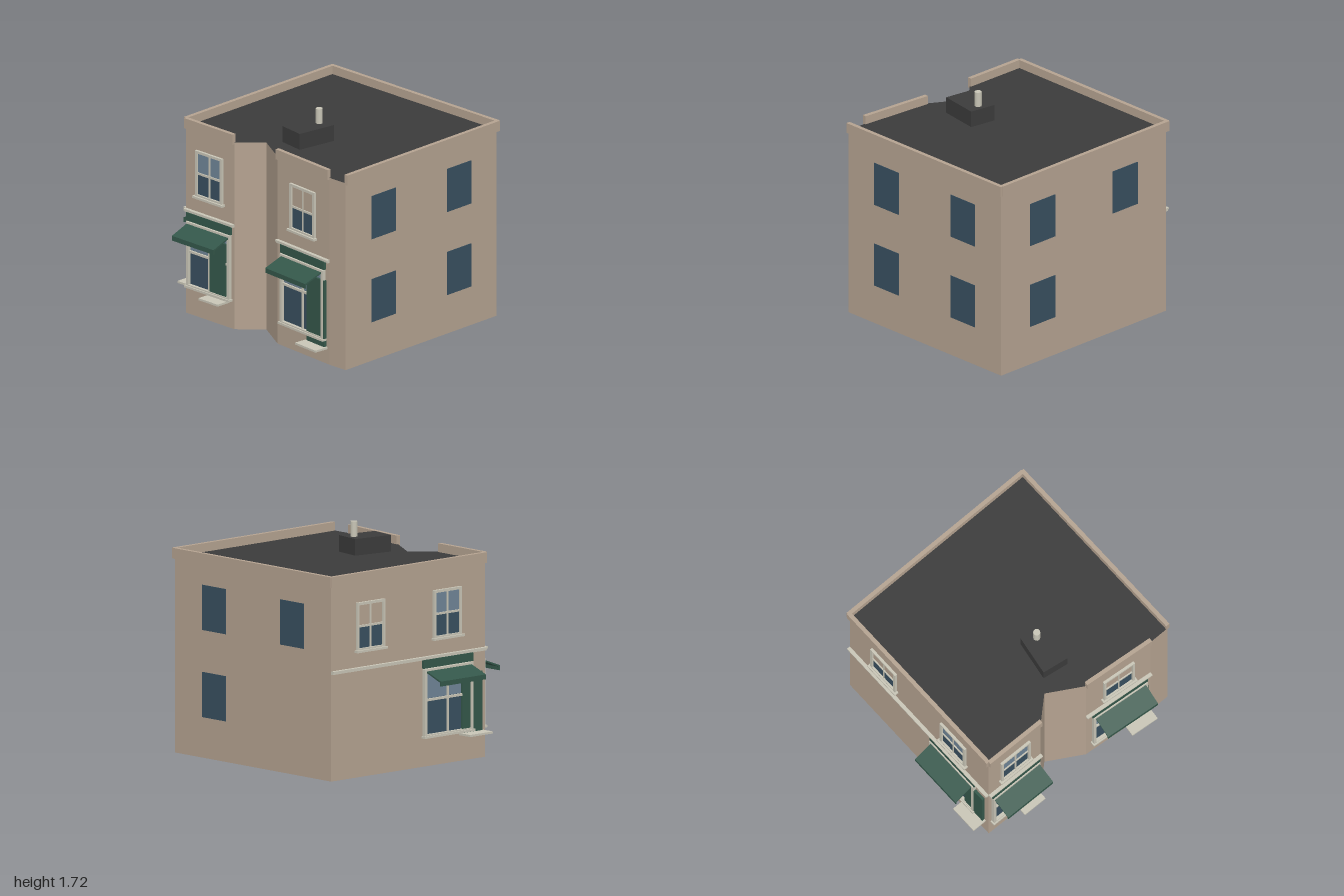
import * as THREE from 'three';

const mat = (name, color, side = THREE.FrontSide) => {
  const m = new THREE.MeshStandardMaterial({ color, side });
  m.name = name;
  return m;
};
const M = {
  wall: mat('tan wall', 0xb4a290),
  roof: mat('dark roofing', 0x3b3b3b),
  glass: mat('dark glass', 0x384f5f),
  paleGlass: mat('pale glass', 0x6f8496),
  trim: mat('stone trim', 0xc8c5b6),
  green: mat('shop green', 0x34574a),
};

// Footprint corners as [x, z], in order around the building
const C = {
  frontRight: [-0.62, 0.975], frontLeft: [0.975, 0.72], backLeft: [0.72, -0.96], backRight: [-0.82, -0.72],
  notchBack: [-0.75, -0.22], notchInner: [-0.565, -0.07], notchFront: [-0.68, 0.22], sideEnd: [-0.645, 0.81],
};
const ROOF = 1.475;

// Box given by its centre x, bottom and top y, back and front z
function box(parent, name, material, x, w, y0, y1, z0, z1) {
  const mesh = new THREE.Mesh(new THREE.BoxGeometry(w, y1 - y0, z1 - z0), material);
  mesh.position.set(x, (y0 + y1) / 2, (z0 + z1) / 2);
  mesh.name = name;
  parent.add(mesh);
  return mesh;
}

// Group on a wall: local x runs along it from p to q, local z points outwards
function wallFrame(parent, name, p, q) {
  const g = new THREE.Group();
  const dx = q[0] - p[0], dz = q[1] - p[1];
  g.name = name;
  g.position.set(p[0], 0, p[1]);
  g.rotation.y = Math.atan2(-dz, dx);
  g.userData.length = Math.hypot(dx, dz);
  parent.add(g);
  return g;
}

function parapet(wall, over0, over1) {
  const L = wall.userData.length;
  box(wall, 'parapet', M.wall, (L + over1 - over0) / 2, L + over0 + over1, 1.46, 1.54, -0.012, 0.02);
}

function plainWindow(wall, x, y) {
  box(wall, 'plainWindow', M.glass, x, 0.258, y, y + 0.34, -0.004, 0.004);
}

// Frame bars with a centre mullion and a middle rail
function frame(g, x, w, y0, y1, rail, bar, depth) {
  for (const s of [-1, 1]) box(g, 'frameSide', M.trim, x + s * (w - bar) / 2, bar, y0, y1, 0, depth);
  box(g, 'frameHead', M.trim, x, w, y1 - bar, y1, 0, depth);
  box(g, 'frameFoot', M.trim, x, w, y0, y0 + bar, 0, depth);
  box(g, 'mullion', M.trim, x, bar * 0.6, y0, y1, 0, depth * 0.6);
  box(g, 'rail', M.trim, x, w, rail - bar * 0.4, rail + bar * 0.4, 0, depth * 0.7);
}

function sashWindow(wall, x, upperPane) {
  const g = new THREE.Group();
  g.name = 'sashWindow';
  wall.add(g);
  box(g, 'lowerPane', M.glass, x, 0.25, 0.96, 1.135, -0.003, 0.005);
  box(g, 'upperPane', upperPane, x, 0.25, 1.135, 1.305, -0.003, 0.005);
  frame(g, x, 0.28, 0.95, 1.315, 1.135, 0.02, 0.02);
  box(g, 'sill', M.trim, x, 0.31, 0.94, 0.957, 0, 0.035);
}

// Sloping sheet with a hanging valance
function awning(wall, x, w) {
  const s = new THREE.Shape([[0, 0.73], [0, 0.718], [0.173, 0.652], [0.173, 0.625], [0.183, 0.625], [0.183, 0.662]]
    .map(([a, b]) => new THREE.Vector2(a, b)));
  const geo = new THREE.ExtrudeGeometry(s, { depth: w, bevelEnabled: false });
  geo.rotateY(-Math.PI / 2).translate(x + w / 2, 0, 0);
  const mesh = new THREE.Mesh(geo, M.green);
  mesh.name = 'awning';
  wall.add(mesh);
}

function shopFront(wall, o) {
  const g = new THREE.Group();
  g.name = 'shopFront';
  wall.add(g);
  const { x, w, base, doorX, doorW, step } = o;
  box(g, 'shopGlass', M.glass, x, w - 0.02, base, 0.51, -0.003, 0.005);
  box(g, 'transomGlass', M.paleGlass, x, w - 0.02, 0.51, 0.725, -0.003, 0.005);
  frame(g, x, w, base, 0.735, 0.5, 0.022, 0.03);
  box(g, 'shopSill', M.trim, x, w + 0.02, base - 0.005, base + 0.012, 0, 0.04);
  box(g, 'door', M.green, doorX, doorW, step, 0.655, 0, 0.022);
  box(g, 'doorStep', M.trim, doorX, doorW + 0.03, step - 0.016, step, 0, 0.12);
  box(g, 'signBoard', M.green, x, w + 0.01, 0.74, 0.805, 0, 0.022);
  awning(g, x, o.awningW);
}

function cornice(wall) {
  const L = wall.userData.length;
  box(wall, 'stringCourse', M.trim, L / 2, L, 0.803, 0.815, 0, 0.018);
  box(wall, 'stringCourseCap', M.trim, L / 2, L, 0.815, 0.828, 0, 0.028);
}

export function createModel() {
  const model = new THREE.Group();
  model.name = 'cornerShopBuilding';

  // Main block: dark caps, tan sides
  const plan = new THREE.Shape(Object.values(C).map(([x, z]) => new THREE.Vector2(x, -z)));
  const geo = new THREE.ExtrudeGeometry(plan, { depth: ROOF, bevelEnabled: false });
  geo.rotateX(-Math.PI / 2);
  const block = new THREE.Mesh(geo, [M.roof, M.wall]);
  block.name = 'walls';
  model.add(block);

  // Front and left walls with plain windows
  const front = wallFrame(model, 'frontWall', C.frontRight, C.frontLeft);
  const left = wallFrame(model, 'leftWall', C.frontLeft, C.backLeft);
  for (const wall of [front, left]) {
    const L = wall.userData.length;
    for (const t of [0.25, 0.75]) {
      plainWindow(wall, L * t, 0.96);
      if (wall === front || t < 0.5) plainWindow(wall, L * t, 0.305);
    }
    parapet(wall, 0, 0.015);
  }

  // Back wall
  const back = wallFrame(model, 'backWall', C.backLeft, C.backRight);
  const bl = back.userData.length;
  parapet(back, 0.01, 0);
  cornice(back);
  sashWindow(back, bl * 0.25, M.wall);
  sashWindow(back, bl * 0.75, M.paleGlass);
  shopFront(back, { x: bl * 0.75, w: 0.49, base: 0.22, doorX: bl - 0.148, doorW: 0.2, step: 0.21, awningW: 0.455 });

  // Right wall behind the notch
  const rear = wallFrame(model, 'rightRearWall', C.backRight, C.notchBack);
  const rl = rear.userData.length;
  parapet(rear, 0, 0);
  cornice(rear);
  sashWindow(rear, rl / 2, M.paleGlass);
  shopFront(rear, { x: rl / 2, w: 0.45, base: 0.22, doorX: 0.35, doorW: 0.17, step: 0.21, awningW: 0.435 });

  // Right wall in front of the notch
  const fore = wallFrame(model, 'rightFrontWall', C.notchFront, C.sideEnd);
  const fl = fore.userData.length;
  parapet(fore, 0, 0);
  cornice(fore);
  sashWindow(fore, fl / 2, M.wall);
  shopFront(fore, { x: fl / 2 + 0.005, w: 0.49, base: 0.185, doorX: 0.455, doorW: 0.2, step: 0.133, awningW: 0.455 });

  // Roof housing and vent pipe
  box(model, 'roofHousing', M.roof, -0.3, 0.32, ROOF - 0.01, 1.6, -0.01, 0.2);
  const pipe = new THREE.Mesh(new THREE.CylinderGeometry(0.027, 0.027, 0.115, 10), M.trim);
  pipe.name = 'ventPipe';
  pipe.position.set(-0.2, 1.6575, 0.095);
  model.add(pipe);

  return model;
}
